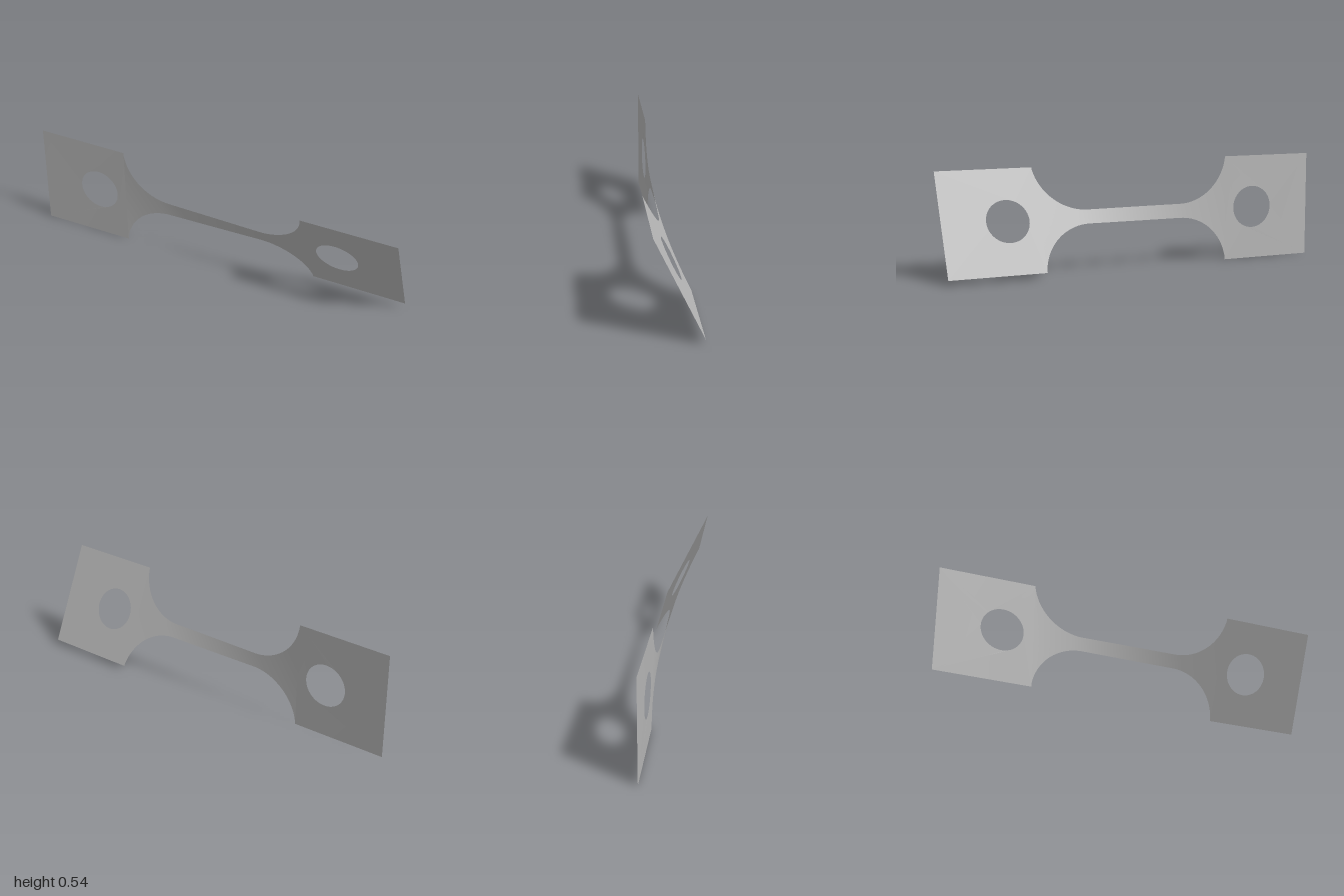
import * as THREE from 'three';

const HALF = 0.271, NECK = 0.036, PLATE_X = 0.51, FILLET_R = 0.263, FILLET_X = 0.25;

// twist angle in degrees at stations along x
const TWIST = [[-1, 0], [-0.51, 1.1], [-0.3, 4.5], [0.3, 24.3], [0.51, 25.2], [1, 25.2]];

function twistAt(x) {
  let i = 0;
  while (i < TWIST.length - 2 && x > TWIST[i + 1][0]) i++;
  const [x0, a0] = TWIST[i], [x1, a1] = TWIST[i + 1];
  return THREE.MathUtils.degToRad(a0 + (a1 - a0) * (x - x0) / (x1 - x0));
}

// half height of the neck, with round fillets running into the plates
function halfHeight(x) {
  const d = Math.abs(x) - FILLET_X;
  if (d <= 0) return NECK;
  if (Math.abs(x) > PLATE_X - 1e-4) return HALF;
  return Math.min(HALF, NECK + FILLET_R - Math.sqrt(Math.max(0, FILLET_R ** 2 - d * d)));
}

// turn every point about the long axis and lift the sheet onto the ground
function twistSheet(geometry) {
  const p = geometry.attributes.position;
  for (let i = 0; i < p.count; i++) {
    const x = p.getX(i), h = p.getY(i), a = twistAt(x);
    p.setXYZ(i, x, HALF + h * Math.cos(a), h * Math.sin(a));
  }
  geometry.computeVertexNormals();
  return geometry;
}

// square end plate with a round hole
function endPlate(side) {
  const a = Math.min(side, side * PLATE_X), b = Math.max(side, side * PLATE_X);
  const shape = new THREE.Shape([
    new THREE.Vector2(a, -HALF), new THREE.Vector2(b, -HALF),
    new THREE.Vector2(b, HALF), new THREE.Vector2(a, HALF),
  ]);
  const hole = new THREE.Path();
  hole.absarc(side * 0.67, 0, 0.109, 0, Math.PI * 2, true);
  shape.holes.push(hole);
  return twistSheet(new THREE.ShapeGeometry(shape, 48));
}

// narrow neck, with closer stations near the plates
function neck() {
  const g = new THREE.PlaneGeometry(2, 2, 96, 8);
  const p = g.attributes.position;
  for (let i = 0; i < p.count; i++) {
    const x = PLATE_X * Math.sin(p.getX(i) * Math.PI / 2);
    p.setXY(i, x, p.getY(i) * halfHeight(x));
  }
  return twistSheet(g);
}

export function createModel() {
  const steel = new THREE.MeshStandardMaterial({ color: 0xb8b8b8, side: THREE.DoubleSide });
  steel.name = 'grey metal';
  const group = new THREE.Group();
  group.name = 'twistedSpecimen';
  const add = (name, geometry) => {
    const mesh = new THREE.Mesh(geometry, steel);
    mesh.name = name;
    group.add(mesh);
  };
  add('rightEndPlate', endPlate(-1));
  add('twistedNeck', neck());
  add('leftEndPlate', endPlate(1));
  return group;
}
